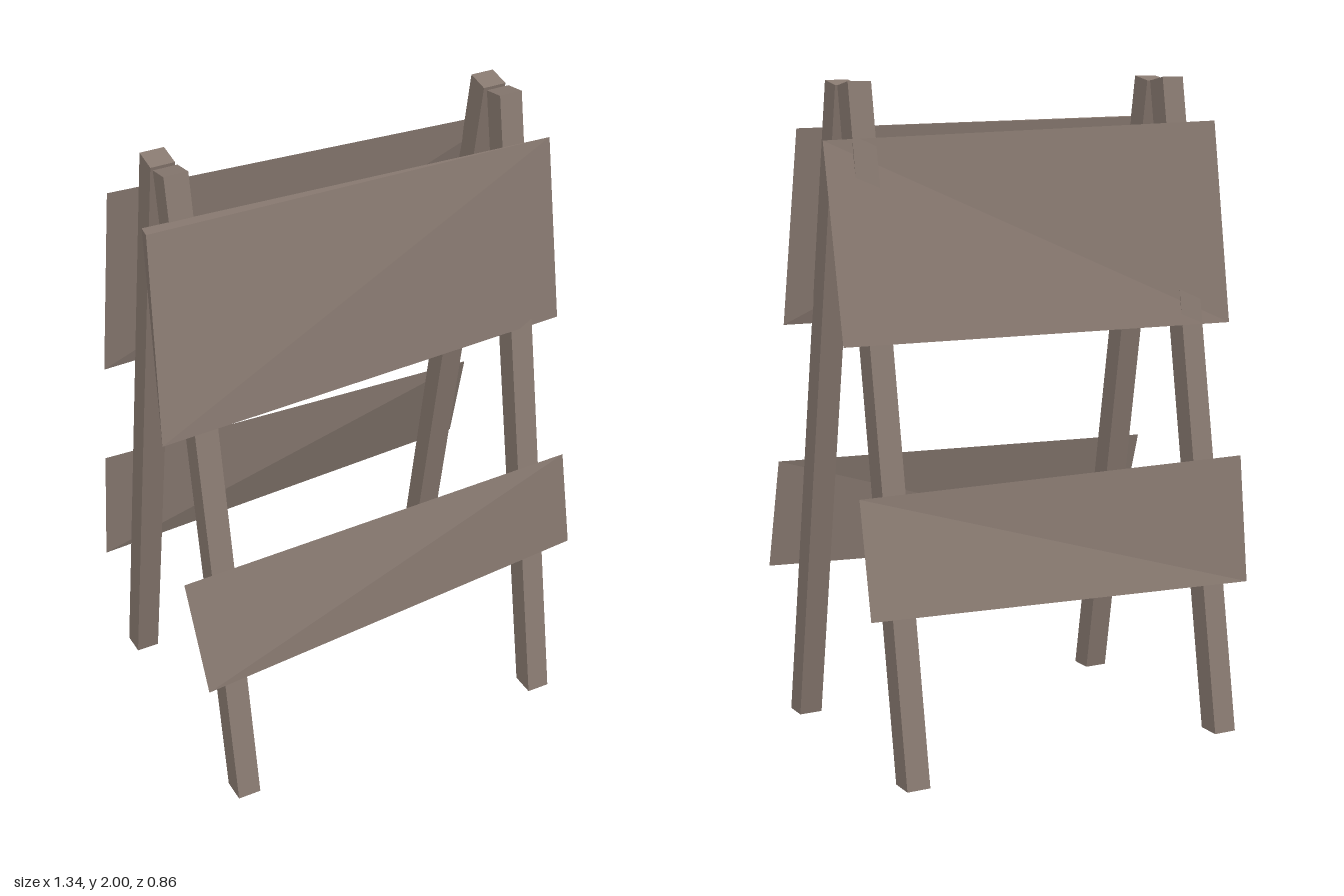
import * as THREE from 'three';

export function createModel() {
  const model = new THREE.Group();
  model.name = 'trestleBarricade';

  const wood = new THREE.MeshStandardMaterial({ color: 0x8a7b72, side: THREE.DoubleSide });
  wood.name = 'weatheredWood';

  const add = (geometry, name) => {
    const mesh = new THREE.Mesh(geometry, wood);
    mesh.name = name;
    model.add(mesh);
  };

  // Leaning post: side outline extruded across its width; z = 1 front, -1 back
  function leg(name, x0, x1, side) {
    const outline = [[0.355, 0], [0.43, 0], [0.08, 2], [0.008, 1.987]];
    const shape = new THREE.Shape(outline.map(([z, y]) => new THREE.Vector2(-z * side, y)));
    const geometry = new THREE.ExtrudeGeometry(shape, { depth: x1 - x0, bevelEnabled: false });
    geometry.rotateY(Math.PI / 2); // shape x becomes -z, depth becomes x
    geometry.translate(x0, 0, 0);
    add(geometry, name);
  }
  for (const [end, side] of [['front', 1], ['back', -1]]) {
    leg(end + 'RightLeg', -0.56, -0.487, side);
    leg(end + 'LeftLeg', 0.494, 0.567, side);
  }

  // Faceted sheet from a list of triangles, each with its own flat normals
  function facets(name, triangles) {
    const geometry = new THREE.BufferGeometry();
    geometry.setAttribute('position', new THREE.Float32BufferAttribute(triangles.flat(2), 3));
    geometry.computeVertexNormals();
    add(geometry, name);
  }

  // Warped board folded from bottom corner a to top corner c; corners run
  // a (-x bottom), b (+x bottom), c (+x top), d (-x top)
  function board(name, a, b, c, d, side) {
    facets(name, side > 0 ? [[a, b, c], [a, c, d]] : [[a, c, b], [a, d, c]]);
  }
  board('frontLowerBoard', [-0.625, 0.43, 0.386], [0.667, 0.503, 0.341],
    [0.64, 0.836, 0.314], [-0.657, 0.8, 0.312], 1);
  board('backUpperBoard', [-0.66, 1.246, -0.21], [0.66, 1.265, -0.235],
    [0.657, 1.837, -0.105], [-0.64, 1.866, -0.14], -1);
  board('backLowerBoard', [-0.645, 0.45, -0.355], [0.65, 0.5, -0.378],
    [0.64, 0.836, -0.286], [-0.637, 0.845, -0.32], -1);

  // Upper front board is a wedge, thick at one top corner
  const a = [-0.673, 1.256, 0.244], b = [0.66, 1.275, 0.203], c = [0.636, 1.86, 0.135];
  const d = [-0.643, 1.874, 0.138], back = [-0.638, 1.873, 0.097];
  facets('frontUpperBoard', [
    [a, b, c], [a, c, d],       // front
    [d, c, back], [a, d, back], // top and end
    [back, c, b], [back, b, a], // rear
  ]);

  return model;
}
